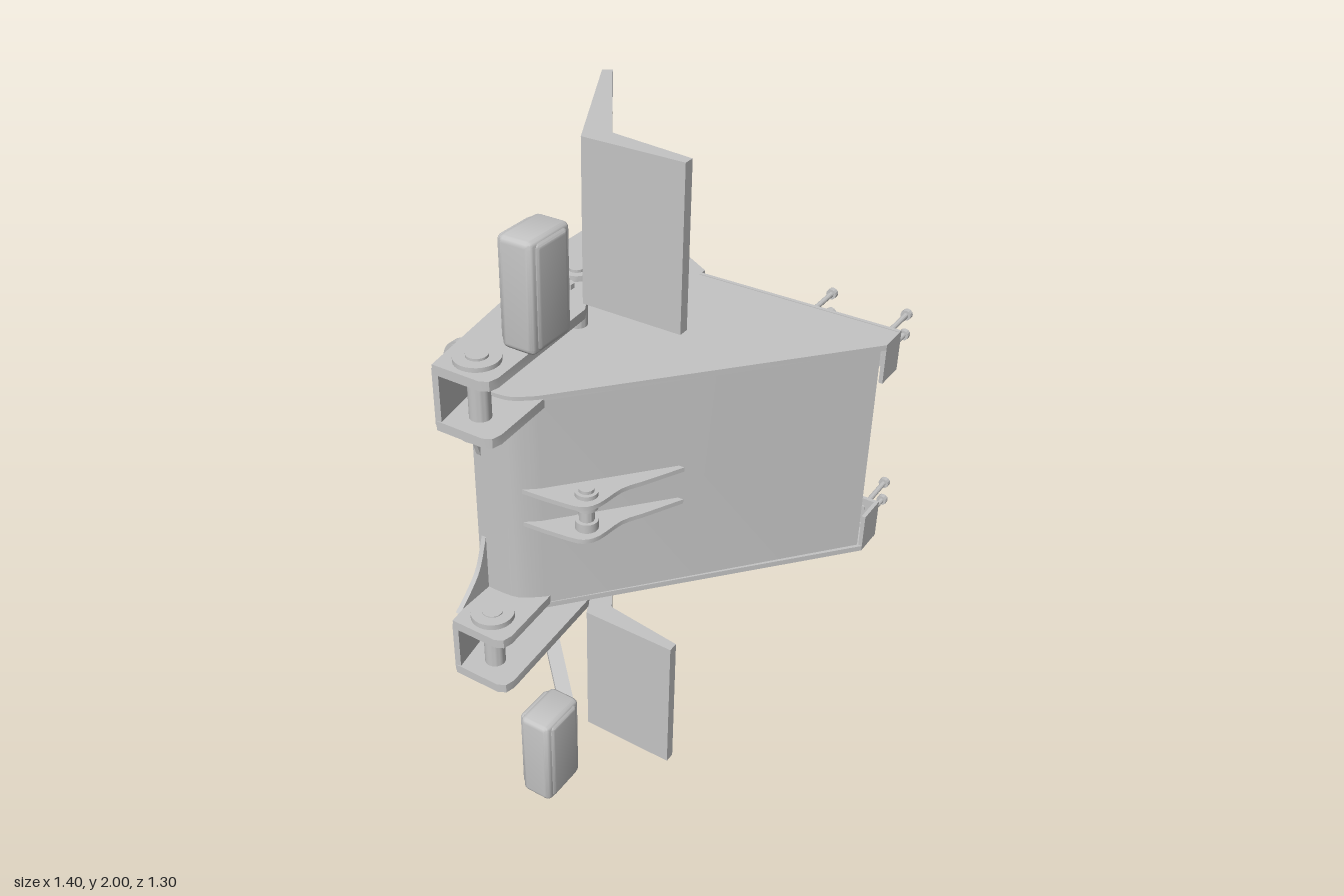
import * as THREE from 'three';
import { toCreasedNormals } from 'three/addons/utils/BufferGeometryUtils.js';
import { RoundedBoxGeometry } from 'three/addons/geometries/RoundedBoxGeometry.js';

const steel = new THREE.MeshStandardMaterial({ color: 0xc4c4c4 });
steel.name = 'grey steel';

const vecs = (pts) => pts.map(([x, y]) => new THREE.Vector2(x, y));
const smooth = (pts, n = 16) => new THREE.SplineCurve(vecs(pts)).getPoints(n).map((p) => [p.x, p.y]);

// Vertical prism from an [x, z] outline between two heights
function prism(pts, y0, y1) {
  const shape = new THREE.Shape(vecs(pts.map(([x, z]) => [x, -z])));
  return new THREE.ExtrudeGeometry(shape, { depth: y1 - y0, bevelEnabled: false })
    .rotateX(-Math.PI / 2).translate(0, y0, 0);
}

// Upright plate of thickness t following an [x, z] path
function wall(pts, t, y0, y1) {
  const side = (s) => pts.map(([x, z], i) => {
    const a = pts[Math.max(i - 1, 0)], b = pts[Math.min(i + 1, pts.length - 1)];
    const dx = b[0] - a[0], dz = b[1] - a[1], l = Math.hypot(dx, dz);
    return [x - s * t * dz / l / 2, z + s * t * dx / l / 2];
  });
  return prism([...side(1), ...side(-1).reverse()], y0, y1);
}

// Upright plate from a [z, y] outline, with an optional opening, standing at x
function sidePlate(x, t, pts, opening) {
  const flip = (list) => vecs(list.map(([z, y]) => [-z, y]));
  const shape = new THREE.Shape(flip(pts));
  if (opening) shape.holes.push(new THREE.Path(flip(opening)));
  return new THREE.ExtrudeGeometry(shape, { depth: t, bevelEnabled: false })
    .rotateY(Math.PI / 2).translate(x, 0, 0);
}

const disc = (x, z, r, y0, y1, n = 28) =>
  new THREE.CylinderGeometry(r, r, y1 - y0, n).translate(x, (y0 + y1) / 2, z);
const box = (x0, x1, y0, y1, z0, z1) => new THREE.BoxGeometry(x1 - x0, y1 - y0, z1 - z0)
  .translate((x0 + x1) / 2, (y0 + y1) / 2, (z0 + z1) / 2);

// Copy reflected in the middle plane y = 1, with corner order restored
function reflected(geometry) {
  const g = geometry.index ? geometry.toNonIndexed() : geometry.clone();
  g.scale(1, -1, 1).translate(0, 2, 0);
  for (const a of Object.values(g.attributes)) {
    for (let i = 0; i < a.count; i += 3) {
      for (let k = 0; k < a.itemSize; k++) {
        const v = a.getComponent(i + 1, k);
        a.setComponent(i + 1, k, a.getComponent(i + 2, k));
        a.setComponent(i + 2, k, v);
      }
    }
  }
  return g;
}

export function createModel() {
  const model = new THREE.Group();
  model.name = 'hingeCasting';
  const add = (name, geometry) => {
    const mesh = new THREE.Mesh(toCreasedNormals(geometry, 0.5), steel);
    mesh.name = name;
    model.add(mesh);
  };
  const pair = (name, geometry) => {
    add('upper ' + name, geometry);
    add('lower ' + name, reflected(geometry));
  };

  // Body: two decks joined by a concave side skin and a straight front skin
  const concave = smooth([[-0.43, -0.065], [-0.36, -0.01], [-0.27, 0.1], [-0.2, 0.23], [-0.155, 0.37], [-0.13, 0.475]]);
  const nose = smooth([[-0.13, 0.475], [-0.05, 0.475], [0, 0.465], [0.052, 0.425]], 8);
  pair('deck', prism([[-0.43, -0.65], [-0.28, -0.65], [0.045, -0.45], [0.045, -0.425], [0.7, -0.425],
    [0.7, -0.33], ...nose.slice().reverse(), ...concave.slice().reverse().slice(1)], 1.343, 1.36));
  add('sideSkin', wall(concave.slice(1).map(([x, z]) => [x + 0.012, z - 0.008]), 0.015, 0.655, 1.345));
  add('frontSkin', wall([...nose, [0.685, -0.325]].map(([x, z]) => [x - 0.006, z - 0.008]), 0.015, 0.655, 1.345));

  // Rear posts, side plate with its opening, and flanges round the rear opening
  add('rearPost', wall([[-0.28, -0.643], [-0.405, -0.643]], 0.015, 0.655, 1.345));
  add('slantedPost', wall([[-0.19, -0.587], [-0.28, -0.642]], 0.012, 0.655, 1.345));
  add('openSidePlate', sidePlate(-0.408, 0.015,
    [[-0.645, 0.655], [-0.04, 0.655], [-0.04, 1.345], [-0.645, 1.345]],
    [[-0.54, 0.78], [-0.5, 0.72], [-0.31, 0.72], [-0.24, 0.82], [-0.24, 1.18], [-0.31, 1.28], [-0.5, 1.28], [-0.54, 1.22]]));
  pair('rearFlange', box(0.045, 0.7, 1.235, 1.362, -0.428, -0.416));
  pair('slantedFlange', wall([[0.045, -0.442], [-0.19, -0.587]], 0.012, 1.265, 1.345));
  pair('endFlange', box(0.688, 0.7, 1.235, 1.35, -0.425, -0.33));
  pair('clipStem', box(-0.12, -0.08, 1.235, 1.345, -0.405, -0.375));
  pair('clip', box(-0.125, -0.075, 1.195, 1.24, -0.44, -0.35));

  // Mounting bolts
  for (const x of [0.415, 0.655]) {
    for (const y of [1.267, 1.333]) {
      const bolt = (r, z0, z1) => new THREE.CylinderGeometry(r, r, z1 - z0, 12)
        .rotateX(Math.PI / 2).translate(x, y, (z0 + z1) / 2);
      pair('boltShank', bolt(0.008, -0.57, -0.41));
      pair('boltHead', bolt(0.016, -0.583, -0.567));
    }
  }

  // Side lugs, flaring from full body height to a ringed eye
  const flare = smooth([[-0.405, 1.31], [-0.42, 1.235], [-0.46, 1.18], [-0.52, 1.13], [-0.57, 1.095], [-0.6, 1.068]], 16);
  const eye = [];
  for (let i = 1; i < 24; i++) {
    const a = THREE.MathUtils.degToRad(66 + 228 * i / 24);
    eye.push([-0.63 + 0.073 * Math.cos(a), 1 + 0.073 * Math.sin(a)]);
  }
  const hole = () => new THREE.Path().absarc(-0.63, 1, 0.04, 0, Math.PI * 2, true);
  for (const z of [-0.105, -0.62]) {
    const lug = new THREE.Shape(vecs([[-0.4, 1.345], ...flare, ...eye,
      ...flare.slice().reverse().map(([x, y]) => [x, 2 - y]), [-0.4, 0.655]]));
    lug.holes.push(hole());
    add('sideLug', new THREE.ExtrudeGeometry(lug, { depth: 0.033, bevelEnabled: false }).translate(0, 0, z));
    const ring = new THREE.Shape().absarc(-0.63, 1, 0.066, 0, Math.PI * 2);
    ring.holes.push(hole());
    add('lugRing', new THREE.ExtrudeGeometry(ring, { depth: 0.055, bevelEnabled: false, curveSegments: 24 })
      .translate(0, 0, z - 0.01));
    const zb = z < -0.3 ? -0.63 : -0.18;
    add('lugGusset', prism([[-0.475, zb], [-0.4, zb], [-0.4, zb + 0.09], [-0.495, zb + 0.075]], 0.85, 1.15));
  }

  // Hinge arms: channel with top flange, web and lower tip plate
  const tip = [[0.075, 0.61], [0.068, 0.638], [0.045, 0.65], [-0.103, 0.65]];
  pair('armTop', prism([[-0.228, -0.105], [-0.12, -0.105], [0.05, 0.2], ...tip], 1.487, 1.515));
  pair('armTipPlate', prism([[-0.13, 0.44], [0.062, 0.4], ...tip], 1.32, 1.348));
  pair('armWeb', wall([[-0.229, -0.105], [-0.097, 0.648]], 0.018, 1.335, 1.503));
  const back = new THREE.Shape(vecs([[-0.395, 1.355], [-0.12, 1.355], [-0.12, 1.515], [-0.226, 1.515], [-0.238, 1.5], [-0.238, 1.37]]));
  pair('armBackPlate', new THREE.ExtrudeGeometry(back, { depth: 0.012, bevelEnabled: false }).translate(0, 0, -0.112));

  // Curved gusset under each arm tip
  const curve = smooth([[0.61, 1.33], [0.56, 1.29], [0.51, 1.235], [0.475, 1.14]], 10);
  pair('tipGusset', sidePlate(-0.125, 0.015, [[0.465, 1.33], ...curve, [0.465, 1.14]]));

  // Hinge pin with collars
  pair('hingePin', disc(-0.022, 0.57, 0.03, 1.3, 1.535));
  pair('hingeCollarTop', disc(-0.022, 0.57, 0.063, 1.512, 1.528));
  pair('hingeCollarBottom', disc(-0.022, 0.57, 0.063, 1.303, 1.325));

  // Panel mount
  pair('mountPin', disc(-0.085, 0.045, 0.022, 1.35, 1.54));
  pair('mountSleeve', disc(-0.085, 0.045, 0.03, 1.36, 1.45));
  pair('mountDisc', disc(-0.085, 0.045, 0.043, 1.512, 1.532));
  pair('mountBolt', disc(-0.06, 0.12, 0.017, 1.512, 1.53, 6));

  // Folded panels: thin front sheet with a thin rim turned backwards
  const outer = [[-0.19, -0.24], [0.048, 0.207], [0.352, 0.21]];
  const inner = [[0.352, 0.178], [0.098, 0.143], [-0.165, -0.256]];
  pair('panelSheet', prism([...outer, [0.352, 0.202], [0.053, 0.199], [-0.183, -0.244]], 1.535, 2));
  for (const y of [1.535, 1.993]) pair('panelRim', prism([...outer, ...inner], y, y + 0.007));
  pair('panelEndRim', box(0.345, 0.352, 1.535, 2, 0.178, 0.21));
  pair('panelSideRim', prism([[-0.19, -0.24], [-0.165, -0.256], [-0.162, -0.25], [-0.187, -0.234]], 1.535, 2));

  // Lamps on slanted brackets
  pair('lampHousing', new RoundedBoxGeometry(0.118, 0.285, 0.135, 3, 0.018).translate(0.141, 1.76, 0.54));
  pair('lampFrame', new RoundedBoxGeometry(0.1, 0.297, 0.16, 3, 0.018).translate(0.145, 1.76, 0.54));
  const from = new THREE.Vector3(-0.06, 1.505, 0.28), to = new THREE.Vector3(0.14, 1.705, 0.443);
  const strut = new THREE.BoxGeometry(0.045, 0.015, from.distanceTo(to));
  strut.applyMatrix4(new THREE.Matrix4().lookAt(to, from, new THREE.Vector3(0, 1, 0)));
  strut.translate(...from.add(to).multiplyScalar(0.5).toArray());
  pair('lampStrut', strut);
  pair('lampTab', box(0.115, 0.165, 1.7, 1.78, 0.43, 0.465));

  // Central twin link plates on the front skin, with their pin
  const link = [[0.01, 0.455], [0.08, 0.45], ...smooth([[0.15, 0.442], [0.195, 0.43], [0.222, 0.39], [0.235, 0.3], [0.265, 0.24]], 12),
    [0.325, 0.118], [0.29, 0.12], [0.03, 0.42]];
  pair('linkPlate', prism(link, 1.048, 1.062));
  pair('linkCollar', disc(0.17, 0.375, 0.033, 1.02, 1.075));
  add('linkPin', disc(0.17, 0.375, 0.022, 0.915, 1.085));

  return model;
}
